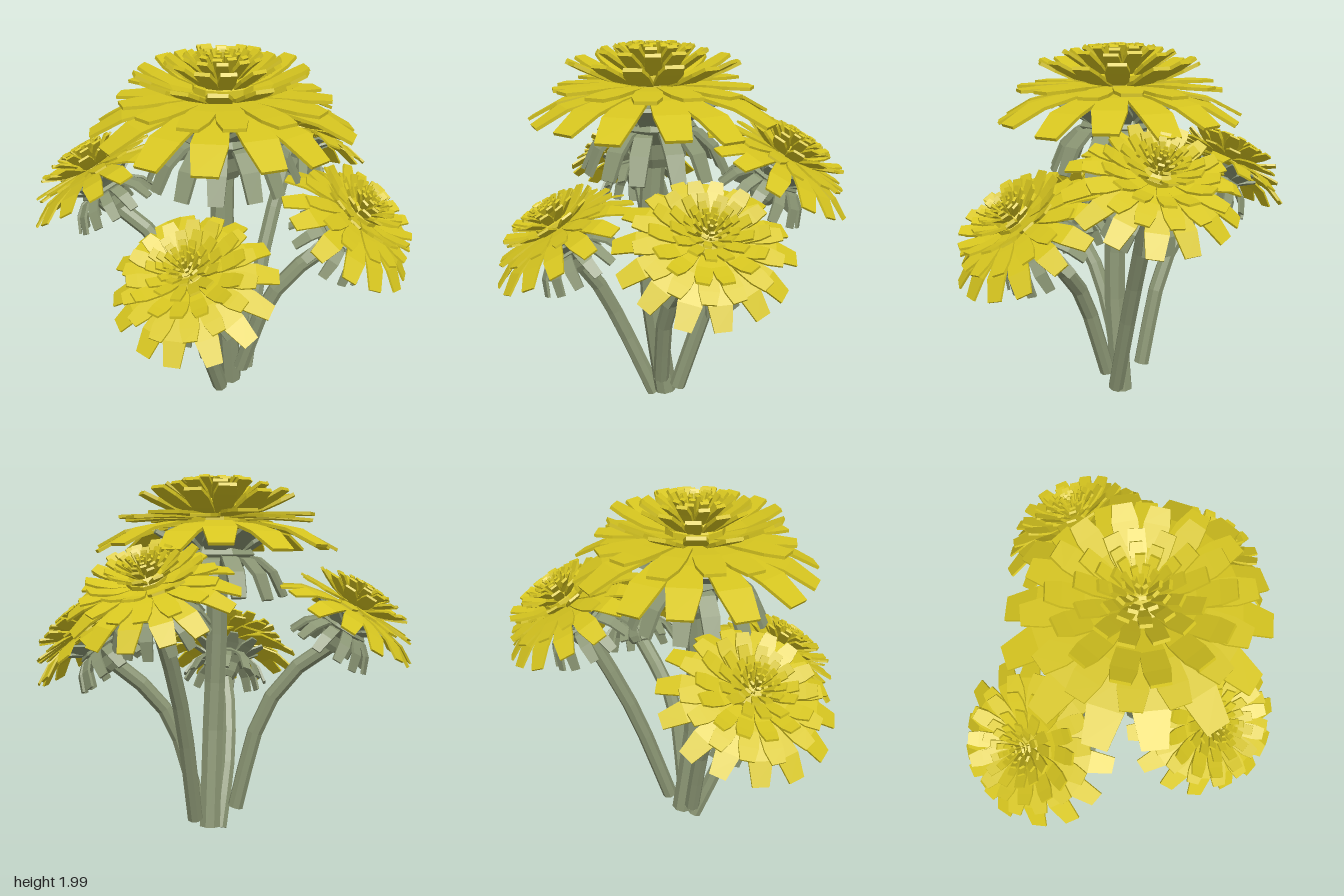
import * as THREE from 'three';
import { mergeGeometries } from 'three/addons/utils/BufferGeometryUtils.js';

const yellow = new THREE.MeshStandardMaterial({ color: 0xd6c51f, flatShading: true });
const green = new THREE.MeshStandardMaterial({ color: 0x8b9674, flatShading: true, side: THREE.DoubleSide });
const V = (x, y, z) => new THREE.Vector3(x, y, z);

// One petal: a thin box bent along [radius, height, width] stations
function petal(stations, thick, stretch) {
  const n = stations.length - 1;
  const g = new THREE.BoxGeometry(1, 1, 1, 1, 1, n);
  const p = g.attributes.position;
  for (let i = 0; i < p.count; i++) {
    const k = Math.round((p.getZ(i) + 0.5) * n);
    const [r, y, w] = stations[k];
    const a = stations[Math.max(k - 1, 0)], b = stations[Math.min(k + 1, n)];
    const dr = b[0] - a[0], dy = b[1] - a[1], len = Math.hypot(dr, dy);
    const t = p.getY(i) * thick;
    p.setXYZ(i, p.getX(i) * w, y + t * dr / len, r * stretch - t * dy / len);
  }
  return g;
}

// A ring of petals with slight, repeatable irregularity
function ring(name, count, stations, thick, material, turn = 0) {
  const parts = [];
  for (let i = 0; i < count; i++) {
    const g = petal(stations, thick, 1 + 0.03 * Math.sin(i * 5.3 + turn * 9));
    const wobble = 0.06 * Math.sin(i * 3.7 + turn * 4);
    g.rotateX(0.025 * Math.sin(i * 2.9 + turn));
    g.rotateY(((i + turn + wobble) / count) * Math.PI * 2);
    parts.push(g);
  }
  const mesh = new THREE.Mesh(mergeGeometries(parts), material);
  mesh.name = name;
  return mesh;
}

function lathe(name, pts, sides, material) {
  const mesh = new THREE.Mesh(new THREE.LatheGeometry(pts.map(([r, y]) => new THREE.Vector2(r, y)), sides), material);
  mesh.name = name;
  return mesh;
}

// Flower head around its own axis; y = 0 is the level of the flat petal ring
function flowerHead() {
  const head = new THREE.Group();
  head.add(
    // petals, from the drooping outside to the upright centre
    ring('outerPetals', 14, [[0.12, -0.03, 0.07], [0.3, -0.045, 0.14], [0.48, -0.085, 0.17], [0.635, -0.17, 0.12]], 0.016, yellow),
    ring('flatPetals', 14, [[0.1, 0, 0.06], [0.3, 0.005, 0.13], [0.42, 0, 0.14], [0.52, -0.005, 0.1]], 0.016, yellow, 0.5),
    ring('cupPetals', 14, [[0.1, 0.01, 0.05], [0.25, 0.045, 0.11], [0.35, 0.09, 0.12], [0.42, 0.125, 0.09]], 0.018, yellow, 0.2),
    ring('middlePetals', 13, [[0.1, 0.05, 0.05], [0.2, 0.12, 0.085], [0.28, 0.175, 0.075]], 0.018, yellow, 0.4),
    ring('innerPetals', 12, [[0.08, 0.09, 0.04], [0.14, 0.155, 0.06], [0.19, 0.198, 0.055]], 0.018, yellow, 0.1),
    ring('innerFlorets', 11, [[0.06, 0.1, 0.03], [0.13, 0.205, 0.045]], 0.018, yellow, 0.6),
    ring('centreFlorets', 9, [[0.03, 0.1, 0.02], [0.08, 0.21, 0.032]], 0.016, yellow, 0.3),
    ring('coreFlorets', 5, [[0.01, 0.1, 0.016], [0.03, 0.215, 0.024]], 0.016, yellow),
    lathe('petalBase', [[0, -0.06], [0.16, -0.04], [0.15, 0.06], [0.08, 0.11], [0, 0.13]], 10, yellow),
    // green cup and its leaves
    lathe('calyx', [[0, -0.41], [0.09, -0.41], [0.12, -0.36], [0.14, -0.28], [0.22, -0.2], [0.19, -0.16], [0.26, -0.08], [0, -0.05]], 8, green),
    ring('upperSepals', 10, [[0.15, -0.19, 0.1], [0.24, -0.13, 0.13], [0.33, -0.075, 0.07]], 0.02, green, 0.5),
    ring('lowerSepals', 13, [[0.13, -0.21, 0.06], [0.23, -0.23, 0.09], [0.31, -0.3, 0.095], [0.37, -0.43, 0.075]], 0.022, green));
  return head;
}

// Kinked stem tube with a closed lower end
function stem(points, radius) {
  const group = new THREE.Group();
  const curve = new THREE.CatmullRomCurve3(points);
  const tube = new THREE.Mesh(new THREE.TubeGeometry(curve, 5, radius, 8), green);
  tube.name = 'stemTube';
  const cap = new THREE.Mesh(new THREE.CircleGeometry(radius, 8), green);
  cap.name = 'stemCut';
  cap.position.copy(points[0]);
  cap.quaternion.setFromUnitVectors(V(0, 0, 1), curve.getTangent(0).negate());
  group.add(tube, cap);
  group.name = 'stem';
  return group;
}

export function createModel() {
  const model = new THREE.Group();
  model.name = 'flowerBunch';
  // at: head position, axis: facing, path: lower stem points
  const flowers = [
    { name: 'centreFlower', at: V(0.05, 1.78, 0.08), axis: V(0, 1, 0), size: 1, radius: 0.062,
      path: [V(0.07, 0.05, 0.02), V(0.08, 0.7, 0.1), V(0.06, 1.1, 0.1)] },
    { name: 'rightFlower', at: V(-0.69, 1.3, 0.24), axis: V(-0.5, 0.83, 0.12), size: 0.65, radius: 0.044,
      path: [V(-0.07, 0.17, 0.06), V(-0.2, 0.68, 0.1), V(-0.35, 0.93, 0.15)] },
    { name: 'leftFlower', at: V(0.69, 1.18, -0.21), axis: V(0.56, 0.8, -0.13), size: 0.65, radius: 0.044,
      path: [V(0.15, 0.17, 0.04), V(0.29, 0.64, 0), V(0.4, 0.83, -0.08)] },
    { name: 'frontFlower', at: V(0.18, 1.06, 0.59), axis: V(0.08, 0.86, 0.5), size: 0.65, radius: 0.044,
      path: [V(0.04, 0.02, 0.09), V(0.05, 0.4, 0.25), V(0.1, 0.7, 0.38)] },
    { name: 'backFlower', at: V(0.12, 1.44, -0.6), axis: V(0, 0.87, -0.49), size: 0.65, radius: 0.044,
      path: [V(0.13, 0.11, -0.05), V(0.11, 0.7, -0.24), V(0.11, 0.98, -0.36)] },
  ];
  flowers.forEach(({ name, at, axis, size, radius, path }, i) => {
    axis.normalize();
    const flower = new THREE.Group();
    flower.name = name;
    const head = flowerHead();
    head.name = 'flowerHead';
    head.position.copy(at);
    head.quaternion.setFromUnitVectors(V(0, 1, 0), axis);
    head.rotateY(i * 0.7);
    head.scale.setScalar(size);
    const joint = at.clone().addScaledVector(axis, -0.36 * size);
    flower.add(head, stem([...path, joint], radius));
    model.add(flower);
  });
  return model;
}
